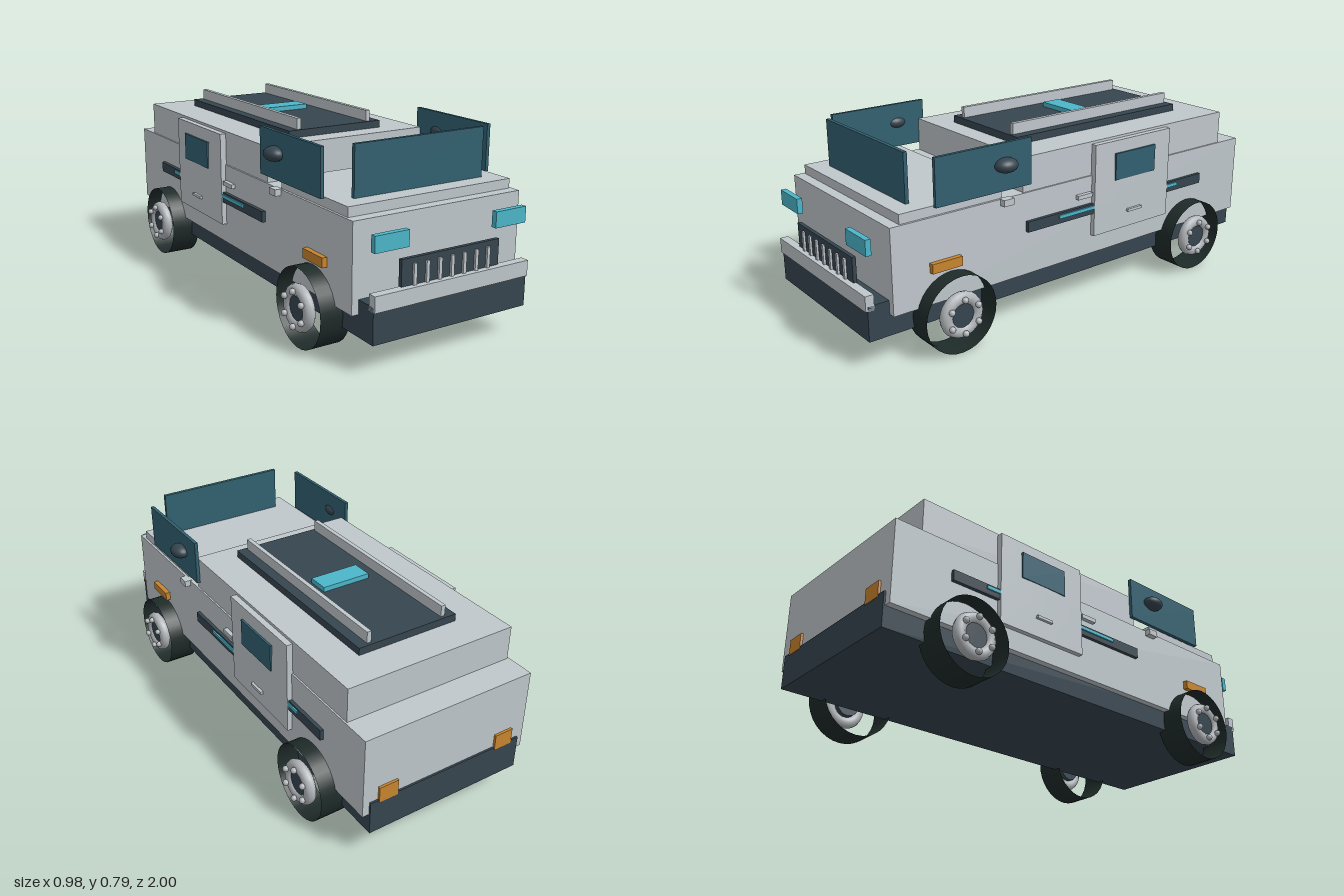
import * as THREE from 'three';

const mat = (name, color, side = THREE.FrontSide) => {
  const m = new THREE.MeshStandardMaterial({ color, side });
  m.name = name;
  return m;
};

export function createModel() {
  const silver = mat('silver body', 0xbfc7cc);
  const charcoal = mat('charcoal trim', 0x36454f);
  const glass = mat('teal glass', 0x326070);
  const cyan = mat('cyan lamp', 0x4cb6ca);
  const amber = mat('amber lamp', 0xc8852f);
  const rubber = mat('black rubber', 0x1e2b29, THREE.DoubleSide);
  const metal = mat('wheel metal', 0xb2b6ba);

  const model = new THREE.Group();
  model.name = 'van';

  const mesh = (name, geometry, material, parent = model) => {
    const m = new THREE.Mesh(geometry, material);
    m.name = name;
    parent.add(m);
    return m;
  };
  // Box given by its minimum and maximum on each axis
  const box = (name, material, [x0, x1], [y0, y1], [z0, z1], parent = model) => {
    const m = mesh(name, new THREE.BoxGeometry(x1 - x0, y1 - y0, z1 - z0), material, parent);
    m.position.set((x0 + x1) / 2, (y0 + y1) / 2, (z0 + z1) / 2);
    return m;
  };
  // The same box on both sides of the model
  const pair = (name, material, [x0, x1], y, z) => {
    box(name + 'Left', material, [x0, x1], y, z);
    box(name + 'Right', material, [-x1, -x0], y, z);
  };

  // Hull
  box('chassis', charcoal, [-0.358, 0.358], [0.118, 0.262], [-0.998, 0.99]);
  box('body', silver, [-0.387, 0.387], [0.205, 0.555], [-0.99, 0.9]);
  box('hood', silver, [-0.377, 0.377], [0.555, 0.594], [0.395, 0.855]);
  box('cabin', silver, [-0.38, 0.38], [0.555, 0.7], [-0.867, 0.29]);

  // Roof
  box('roofPanel', charcoal, [-0.227, 0.227], [0.7, 0.731], [-0.717, 0.2]);
  pair('roofRail', silver, [0.164, 0.183], [0.731, 0.778], [-0.703, 0.188]);
  box('roofLamp', cyan, [-0.109, 0.109], [0.731, 0.752], [-0.305, -0.213]);

  // Free-standing glass
  box('windshield', glass, [-0.3, 0.3], [0.594, 0.794], [0.764, 0.78]);
  pair('sideWindow', glass, [0.383, 0.398], [0.59, 0.783], [0.263, 0.71]);

  // Nose
  box('frontBumper', silver, [-0.358, 0.358], [0.242, 0.305], [0.962, 0.998]);
  box('grille', charcoal, [-0.227, 0.227], [0.25, 0.408], [0.957, 0.973]);
  for (let i = -3; i <= 3; i++) {
    const x = i * 0.057;
    box('grilleBar', silver, [x - 0.007, x + 0.007], [0.27, 0.387], [0.972, 0.982]);
  }
  pair('headlight', cyan, [0.201, 0.349], [0.453, 0.517], [0.957, 0.98]);

  // Tail
  pair('tailLight', amber, [0.235, 0.32], [0.252, 0.32], [-1.0, -0.985]);

  // Flank trim
  pair('sideStrip', charcoal, [0.38, 0.402], [0.39, 0.435], [-0.73, 0.28]);
  pair('sideStripLamp', cyan, [0.4, 0.408], [0.412, 0.427], [-0.572, 0.12]);
  pair('sideMarker', amber, [0.38, 0.408], [0.338, 0.377], [0.603, 0.738]);
  pair('mirrorBracket', silver, [0.38, 0.413], [0.53, 0.557], [0.358, 0.408]);
  pair('bodyHandle', silver, [0.38, 0.405], [0.469, 0.487], [-0.06, 0.018]);

  // Slightly bulged doors
  const doorGeometry = new THREE.BoxGeometry(0.026, 0.4, 0.437, 1, 6, 6);
  for (const s of [1, -1]) {
    const g = doorGeometry.clone();
    const p = g.attributes.position;
    for (let i = 0; i < p.count; i++) {
      if (p.getX(i) * s < 0) continue;
      const u = p.getY(i) / 0.2, v = p.getZ(i) / 0.2185;
      p.setX(i, p.getX(i) + s * 0.012 * (1 - u * u) * (1 - v * v));
    }
    mesh(s > 0 ? 'doorLeft' : 'doorRight', g, silver).position.set(s * 0.395, 0.49, -0.288);
  }
  pair('doorWindow', glass, [0.412, 0.4215], [0.52, 0.637], [-0.405, -0.175]);
  pair('doorHandle', silver, [0.41, 0.427], [0.364, 0.376], [-0.33, -0.25]);

  // Mirrors
  for (const s of [1, -1]) {
    const m = mesh('mirror', new THREE.SphereGeometry(1, 24, 16), charcoal);
    m.scale.set(0.04, 0.03, 0.05);
    m.position.set(s * 0.41, 0.697, 0.395);
  }

  // Wheels: open tread, ring rim, hub and six bolts, outward along +x
  const tread = new THREE.CylinderGeometry(0.16, 0.16, 0.13, 32, 1, true).rotateZ(Math.PI / 2);
  const rim = new THREE.TorusGeometry(0.07, 0.025, 10, 24).rotateY(Math.PI / 2);
  const hub = new THREE.CylinderGeometry(0.05, 0.05, 0.05, 12).rotateZ(Math.PI / 2);
  const bolt = new THREE.SphereGeometry(0.013, 12, 8);
  for (const s of [1, -1]) {
    for (const z of [0.642, -0.662]) {
      const wheel = new THREE.Group();
      wheel.name = z > 0 ? 'frontWheel' : 'rearWheel';
      mesh('tyre', tread, rubber, wheel);
      mesh('rim', rim, metal, wheel).position.x = 0.057;
      mesh('hub', hub, charcoal, wheel).position.x = 0.045;
      for (let i = 0; i < 6; i++) {
        const a = Math.PI / 2 + i * Math.PI / 3;
        mesh('bolt', bolt, metal, wheel).position.set(0.087, 0.07 * Math.sin(a), 0.07 * Math.cos(a));
      }
      wheel.rotation.y = s > 0 ? 0 : Math.PI;
      wheel.position.set(s * 0.39, 0.16, z);
      model.add(wheel);
    }
  }
  return model;
}
